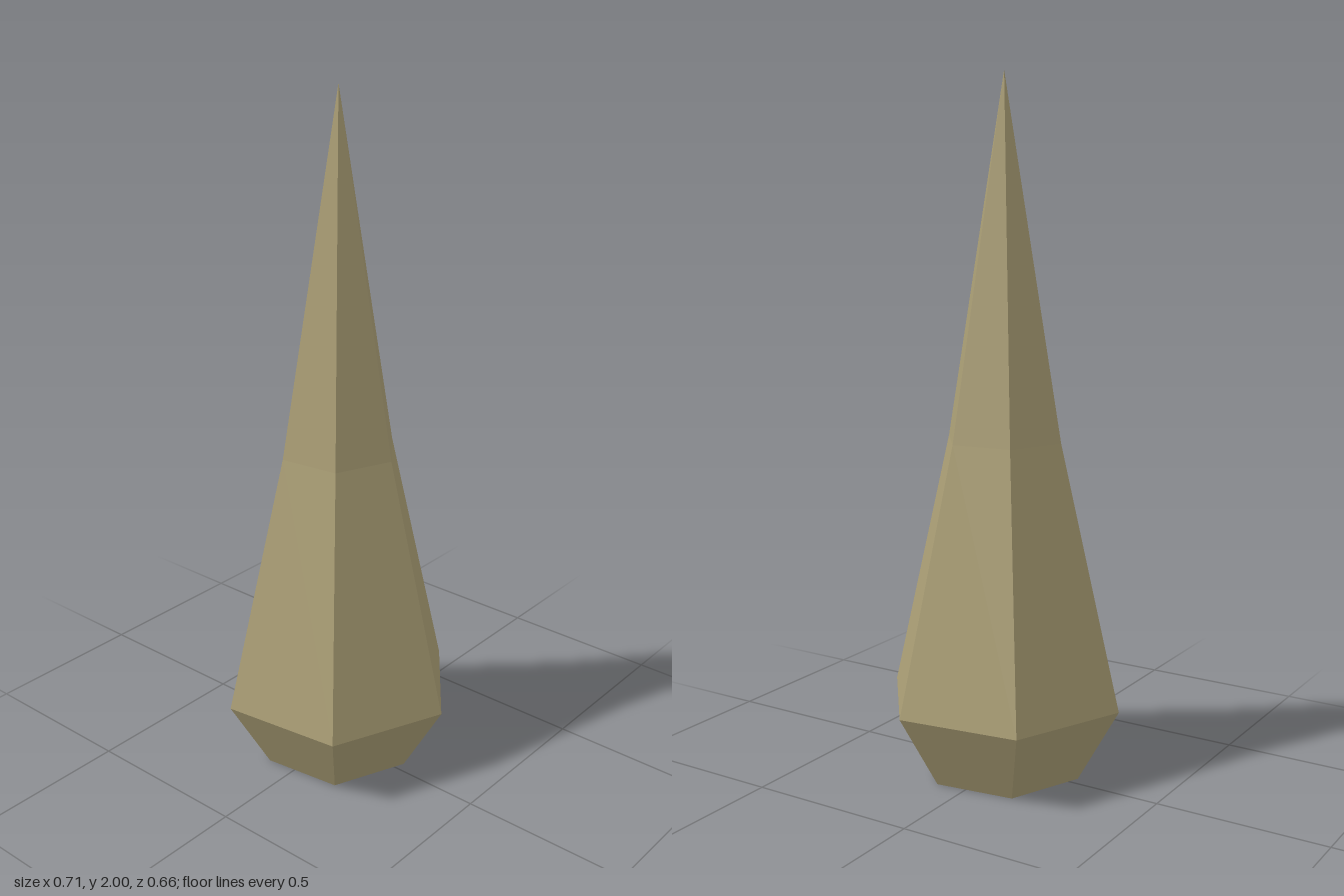
import * as THREE from 'three';

export function createModel() {
  const group = new THREE.Group();
  group.name = 'crystal';

  const stone = new THREE.MeshStandardMaterial({ color: 0xaa9e75 });
  stone.name = 'olive stone';
  stone.flatShading = true;

  const sides = 6;
  const turn = THREE.MathUtils.degToRad(37.5);

  // Each part is a six-sided ring profile of [radius, height], bottom to top
  function addPart(name, profile) {
    const points = profile.map(([r, y]) => new THREE.Vector2(r, y));
    const mesh = new THREE.Mesh(new THREE.LatheGeometry(points, sides, turn), stone);
    mesh.name = name;
    group.add(mesh);
  }

  // Closed foot, flaring up to the widest ring
  addPart('base', [[0, 0], [0.234, 0], [0.357, 0.22]]);
  // Tapering body
  addPart('shaft', [[0.357, 0.22], [0.175, 0.98]]);
  // Slender point
  addPart('tip', [[0.175, 0.98], [0, 2]]);

  return group;
}
